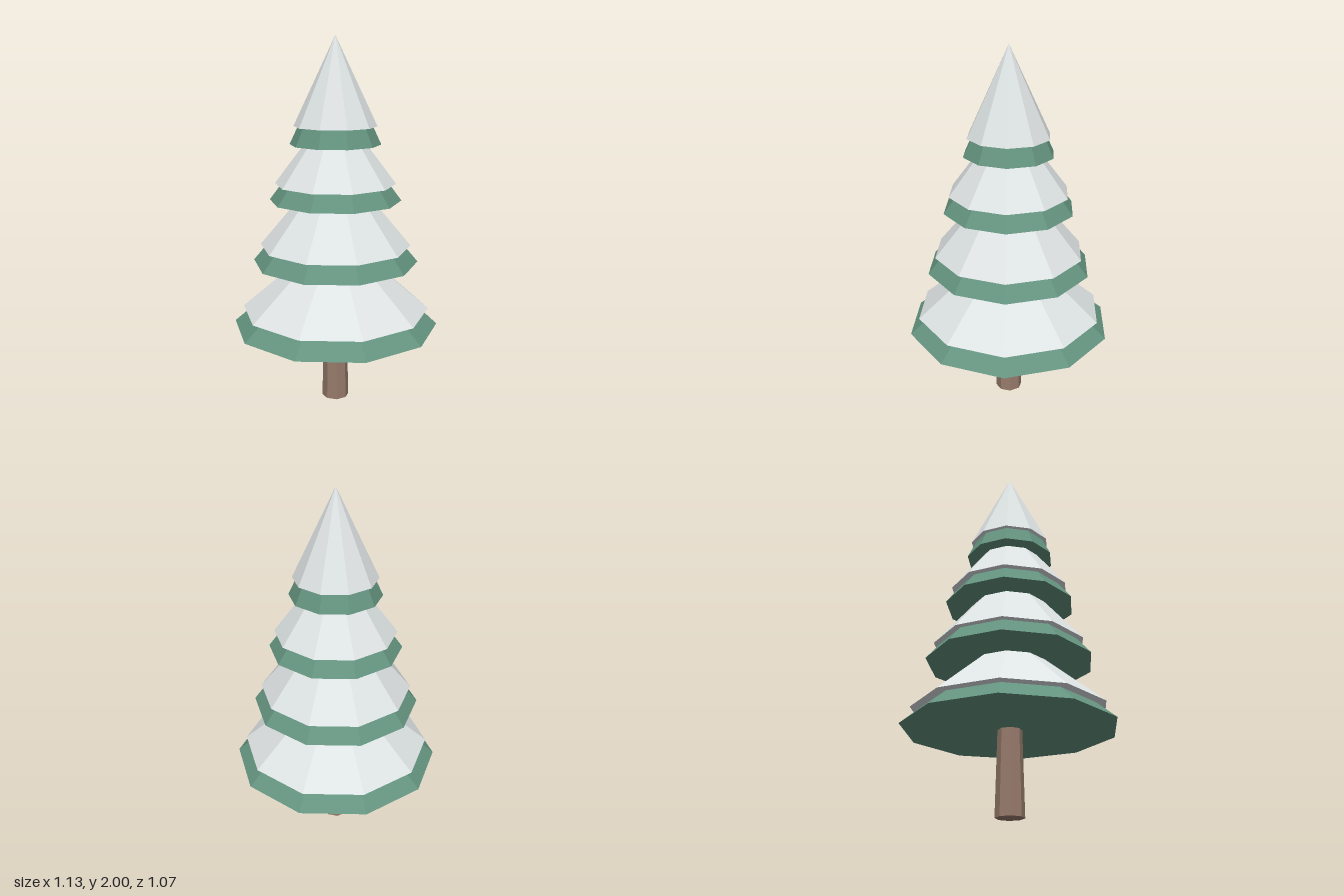
import * as THREE from 'three';

const material = (name, color) => {
  const m = new THREE.MeshStandardMaterial({ color, flatShading: true });
  m.name = name;
  return m;
};

export function createModel() {
  const tree = new THREE.Group();
  tree.name = 'snowyPineTree';

  const needles = material('needleGreen', 0x64937f);
  const snow = material('snowWhite', 0xdde2e3);
  const bark = material('barkBrown', 0x967b6b);

  // Tapered part standing on height y
  function addPart(parent, name, mat, rTop, rBottom, y, yTop, sides, turn = 0) {
    const geometry = new THREE.CylinderGeometry(rTop, rBottom, yTop - y, sides, 1, false, turn);
    const mesh = new THREE.Mesh(geometry, mat);
    mesh.name = name;
    mesh.position.y = (y + yTop) / 2;
    parent.add(mesh);
  }

  // Octagonal trunk
  addPart(tree, 'trunk', bark, 0.063, 0.075, 0, 0.46, 8);

  // Four ten-sided tiers, each a branch cone under a slightly larger snow cone
  const tiers = [
    { y: 0.44, r: 0.565, snowY: 0.53, snowR: 0.515, tip: 0.97 },
    { y: 0.80, r: 0.45, snowY: 0.89, snowR: 0.41, tip: 1.38 },
    { y: 1.14, r: 0.355, snowY: 1.23, snowR: 0.325, tip: 1.66 },
    { y: 1.44, r: 0.243, snowY: 1.535, snowR: 0.222, tip: 2 },
  ];
  tiers.forEach((t, i) => {
    const tier = new THREE.Group();
    tier.name = `tier${i + 1}`;
    addPart(tier, 'branches', needles, 0, t.r, t.y, t.tip - 0.045, 10, Math.PI / 2);
    addPart(tier, 'snowCap', snow, 0, t.snowR, t.snowY, t.tip, 10, Math.PI / 2);
    tree.add(tier);
  });

  return tree;
}
